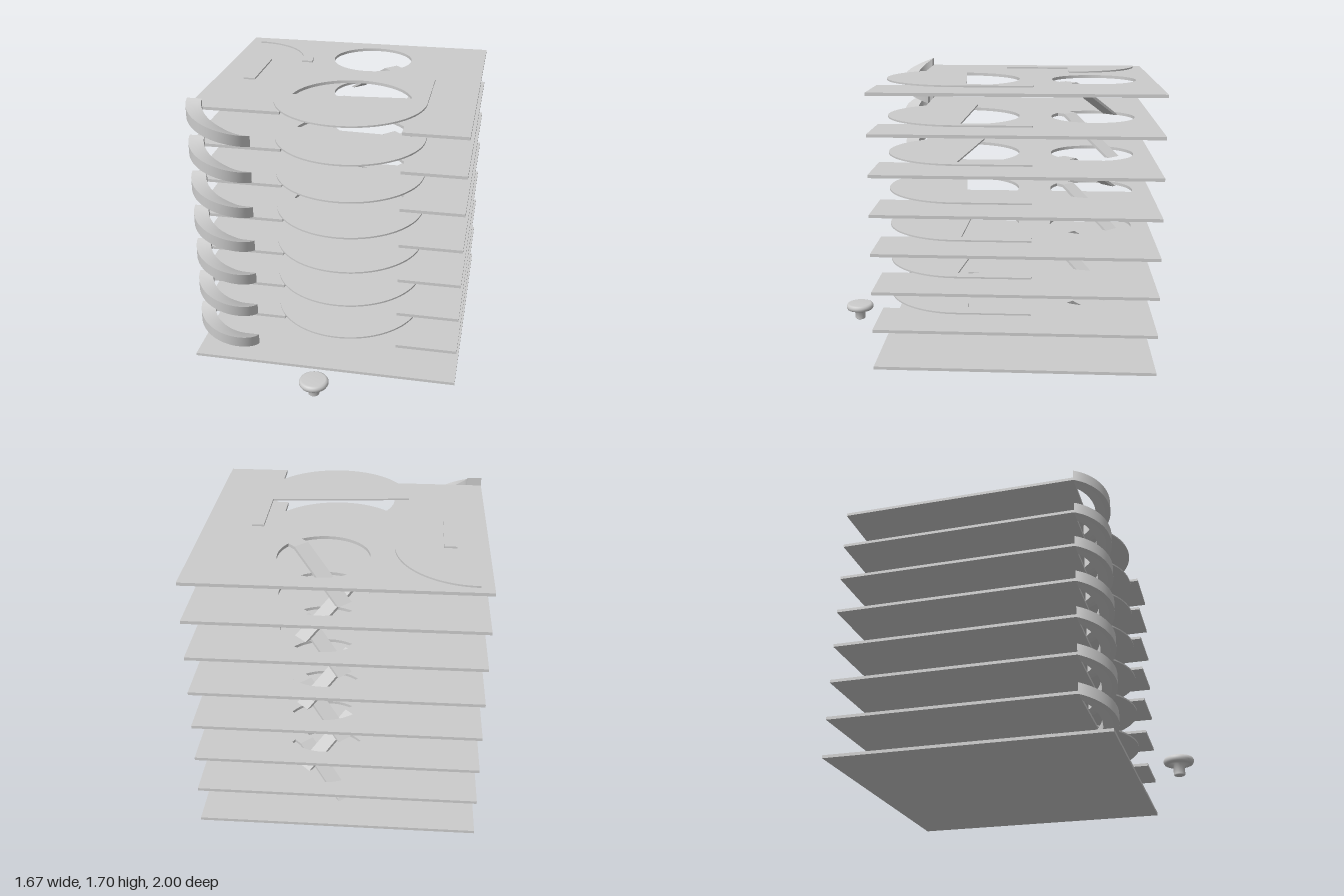
import * as THREE from 'three';

const W = 0.833, BACK = -1, FRONT = 0.665, NOTCH = 0.48; // plate limits
const THICK = 0.018, STEP = 0.2325, FLOORS = 7;
const PAD = 0.01; // height of raised markings
const material = new THREE.MeshStandardMaterial({ color: 0xcccccc });

function mesh(name, geometry, parent) {
  const m = new THREE.Mesh(geometry, material);
  m.name = name;
  parent.add(m);
  return m;
}

// Horizontal slab from a plan drawing, where plan y is -z
function slab(shape, depth) {
  const g = new THREE.ExtrudeGeometry(shape, { depth, bevelEnabled: false, curveSegments: 40 });
  return g.rotateX(-Math.PI / 2);
}

// Upper floor: U-shaped front bay, cut corner and a round ramp well
function floorShape() {
  const s = new THREE.Shape();
  s.moveTo(-W, -NOTCH);
  s.lineTo(-0.28, -NOTCH);
  s.lineTo(-0.28, -0.2);
  s.absarc(0.09, -0.2, 0.37, Math.PI, 0, true);
  s.lineTo(0.46, -FRONT);
  s.lineTo(W, -FRONT);
  s.lineTo(W, -BACK);
  s.lineTo(-W, -BACK);
  s.closePath();
  const well = new THREE.Path();
  well.absarc(0.09, 0.63, 0.26, 0, Math.PI * 2);
  s.holes.push(well);
  return s;
}

// Half disc with a straight arm; slope tilts the straight edge
function halfDiscShape(slope, lift) {
  const s = new THREE.Shape();
  s.absarc(0.09, -0.2, 0.46, Math.PI - lift, Math.PI * 2, false);
  s.lineTo(0.55, 0.26);
  s.lineTo(0.48, 0.26);
  s.lineTo(0.48, -(0.154 + 0.3 * slope));
  s.closePath();
  return s;
}

// Quarter ring marking
function quarterRingShape() {
  const s = new THREE.Shape();
  s.absarc(-0.76, 0.485, 0.46, 0, Math.PI / 2, false);
  s.absarc(-0.76, 0.485, 0.39, Math.PI / 2, 0, true);
  s.closePath();
  return s;
}

// Sloping strip with a flat landing at its top end
function rampGeometry() {
  const top = STEP + THICK;
  const s = new THREE.Shape([
    [-0.18, THICK], [-0.152, THICK], [0.205, STEP], [0.263, STEP], [0.263, top], [0.2, top],
  ].map(([x, y]) => new THREE.Vector2(x, y)));
  const width = 0.098;
  return new THREE.ExtrudeGeometry(s, { depth: width, bevelEnabled: false }).translate(0, 0, -width / 2);
}

// Box bent into half a turn of a helix
function spiralGeometry() {
  const g = new THREE.BoxGeometry(1, 1, 1, 1, 1, 32);
  const p = g.attributes.position;
  for (let i = 0; i < p.count; i++) {
    const t = p.getZ(i) + 0.5;
    const a = t * Math.PI;
    const r = 0.14 + p.getX(i) * 0.09;
    const y = THICK + t * (STEP - THICK) + (p.getY(i) + 0.5) * 0.068;
    p.setXYZ(i, -0.648 + r * Math.cos(a), y, NOTCH + r * Math.sin(a));
  }
  g.computeVertexNormals();
  return g;
}

export function createModel() {
  const model = new THREE.Group();
  model.name = 'parkingTower';

  // Ground plate
  mesh('groundPlate', new THREE.BoxGeometry(2 * W, THICK, FRONT - BACK), model)
    .position.set(0, THICK / 2, (FRONT + BACK) / 2);

  const floor = slab(floorShape(), THICK);
  const ramp = rampGeometry();
  const spiral = spiralGeometry();
  const discs = [[-0.08, 0], [0.05, 0.16], [0.13, 0.26]]
    .map(([slope, lift]) => slab(halfDiscShape(slope, lift), PAD));

  for (let i = 1; i <= FLOORS; i++) {
    const level = new THREE.Group();
    level.name = 'level' + i;
    level.position.y = i * STEP;
    model.add(level);
    mesh('floorPlate', floor, level);
    mesh('halfDisc', discs[(FLOORS - i) % 3], level).position.y = THICK;

    // Ramps climb from the level below, alternating direction
    const r = mesh('ramp', ramp, level);
    r.position.set(0.09, -STEP, -0.63);
    r.rotation.y = i % 2 ? -Math.PI / 4 : -3 * Math.PI / 4;
    mesh('spiralRamp', spiral, level).position.y = -STEP;
  }

  // Raised markings on the roof
  const roof = FLOORS * STEP + THICK;
  mesh('roofBar', new THREE.BoxGeometry(0.073, PAD, 0.42), model)
    .position.set(-0.614, roof + PAD / 2, -0.27);
  mesh('roofArc', slab(quarterRingShape(), PAD), model).position.y = roof;

  // Loose peg with a rounded head
  const profile = [
    [0, 0], [0.028, 0], [0.034, 0.006], [0.034, 0.066], [0.072, 0.066], [0.084, 0.071],
    [0.09, 0.082], [0.09, 0.094], [0.084, 0.105], [0.072, 0.11], [0, 0.11],
  ].map(([x, y]) => new THREE.Vector2(x, y));
  mesh('peg', new THREE.LatheGeometry(profile, 40), model).position.set(0, 0, 0.91);

  return model;
}
